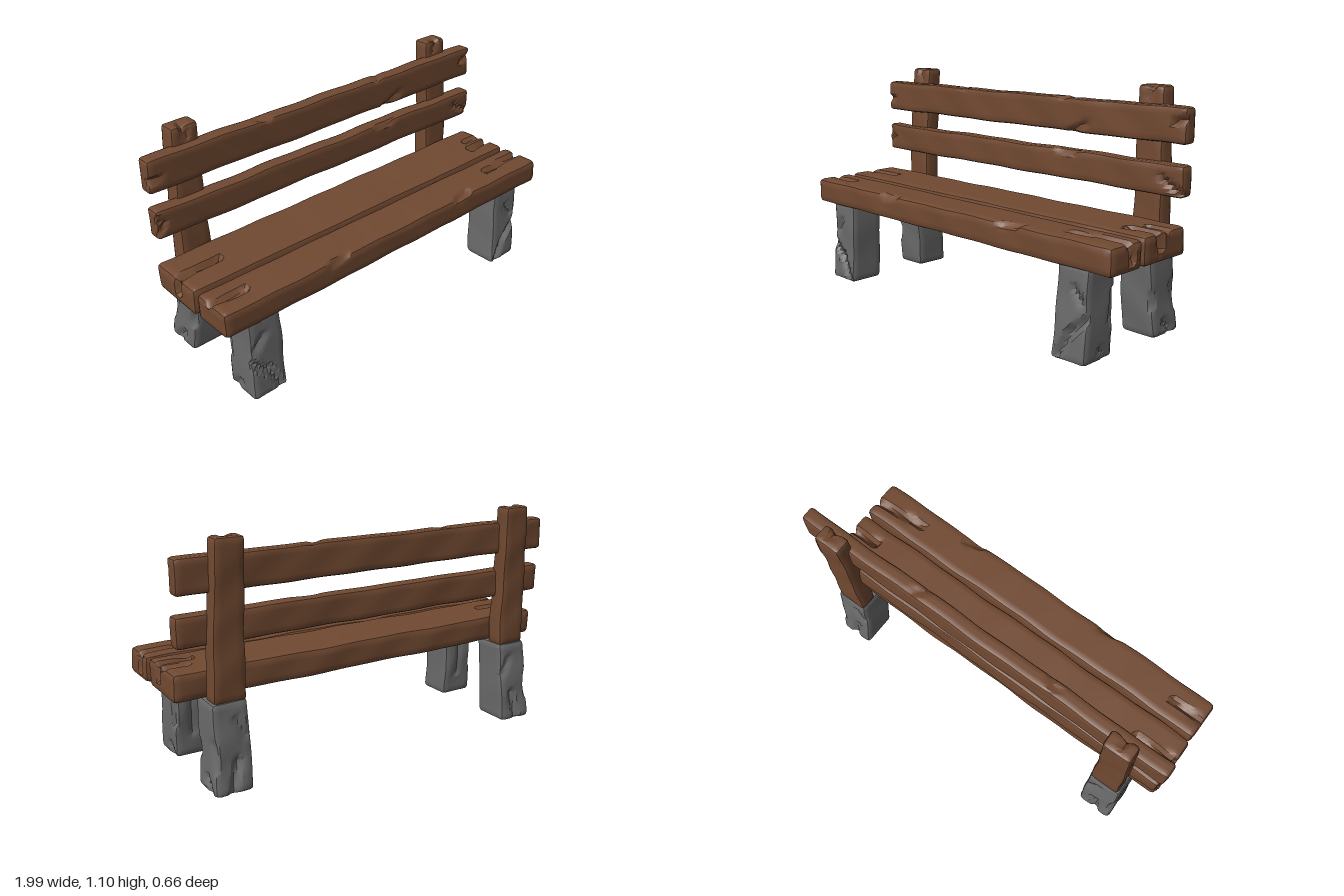
import * as THREE from 'three';
import { toCreasedNormals } from 'three/addons/utils/BufferGeometryUtils.js';

const V = (x, y, z) => new THREE.Vector3(x, y, z);
const lerp = THREE.MathUtils.lerp;

// Gentle hand-hewn unevenness, smooth in space
const wobble = (a, b, seed) =>
  Math.sin(a * 9 + seed * 2.1) * 0.6 + Math.sin(a * 21 + b * 7 + seed * 4.7) * 0.4;

// A crack or chip: surface near the line from a to b is pushed along dir
const cut = (a, b, width, dir) => ({ line: new THREE.Line3(V(...a), V(...b)), width, dir: V(...dir) });

// Bevelled block between two footprints [x0, x1, z0, z1] at heights y0 and y1
function hewnBlock({ low, high = low, y0, y1, bevel = 0.016, rough = 0.004, step = 0.018, seed = 1, cuts = [] }) {
  const size = [
    (low[1] - low[0] + high[1] - high[0]) / 2, y1 - y0,
    (low[3] - low[2] + high[3] - high[2]) / 2,
  ];
  const seg = size.map((s) => Math.max(5, Math.min(90, Math.round(s / step))));
  const geo = new THREE.BoxGeometry(1, 1, 1, ...seg);
  const pos = geo.attributes.position;
  const p = V(0, 0, 0), near = V(0, 0, 0);

  for (let i = 0; i < pos.count; i++) {
    // Place the outer rows of the grid at the bevel, then round the edges
    const raw = [pos.getX(i), pos.getY(i), pos.getZ(i)];
    const k = raw.map((r, j) => Math.round((r + 0.5) * seg[j]));
    const edge = k.map((n, j) => (n === 0 ? -1 : n === seg[j] ? 1 : 0));
    const extremes = edge.filter((e) => e !== 0).length;
    const pull = [0, 0, 0.3, 0.43][extremes] * bevel;
    const c = k.map((n, j) => {
      const h = size[j] / 2;
      if (edge[j]) return edge[j] * (h - pull);
      return -h + bevel + ((n - 1) / (seg[j] - 2)) * (2 * h - 2 * bevel);
    });

    // Taper between the footprints
    const t = c[1] / size[1] + 0.5;
    const r = low.map((v, j) => lerp(v, high[j], t));
    p.set(
      (r[0] + r[1]) / 2 + (c[0] / size[0]) * (r[1] - r[0]),
      lerp(y0, y1, t),
      (r[2] + r[3]) / 2 + (c[2] / size[2]) * (r[3] - r[2]));

    // Unevenness
    const { x, y, z } = p;
    p.x += wobble(y, z, seed + 1) * rough;
    p.y += wobble(x, z, seed + 2) * rough * 0.6;
    p.z += wobble(x + y, y, seed + 3) * rough;

    // Cracks and chips
    for (const { line, width, dir } of cuts) {
      line.closestPointToPoint(p, true, near);
      const d = near.distanceTo(p);
      if (d < width) p.addScaledVector(dir, 1 - d / width);
    }
    pos.setXYZ(i, p.x, Math.max(0, p.y), p.z);
  }
  return toCreasedNormals(geo, 0.5);
}

export function createModel() {
  const bench = new THREE.Group();
  bench.name = 'bench';
  const wood = new THREE.MeshStandardMaterial({ color: 0x714931 });
  wood.name = 'brown wood';
  const stone = new THREE.MeshStandardMaterial({ color: 0x6a6a6a });
  stone.name = 'grey stone';

  const add = (name, material, spec) => {
    const mesh = new THREE.Mesh(hewnBlock(spec), material);
    mesh.name = name;
    bench.add(mesh);
  };

  // Seat planks
  add('frontSeatPlank', wood, {
    low: [-0.993, 0.993, 0.122, 0.327], y0: 0.4, y1: 0.523, seed: 1, bevel: 0.022,
    cuts: [
      cut([-1, 0.52, 0.21], [-0.82, 0.52, 0.225], 0.022, [0, -0.03, 0]),
      cut([1, 0.52, 0.2], [0.72, 0.52, 0.225], 0.024, [0, -0.035, 0]),
      cut([1, 0.52, 0.2], [1, 0.45, 0.19], 0.025, [-0.03, 0, 0]),
      cut([0.4, 0.52, 0.32], [0.48, 0.52, 0.3], 0.03, [0, -0.02, -0.01]),
      cut([-0.42, 0.51, 0.33], [-0.34, 0.52, 0.32], 0.03, [0, -0.015, -0.01]),
    ],
  });
  add('rearSeatPlank', wood, {
    low: [-0.99, 0.993, -0.182, 0.106], y0: 0.398, y1: 0.527, seed: 2, bevel: 0.022,
    cuts: [
      cut([-1, 0.53, -0.02], [-0.78, 0.53, -0.03], 0.024, [0, -0.04, 0]),
      cut([-1, 0.53, -0.02], [-1, 0.46, -0.01], 0.026, [0.04, 0, 0]),
      cut([1, 0.53, 0], [0.84, 0.53, 0.01], 0.024, [0, -0.05, 0]),
      cut([1, 0.53, 0], [1, 0.46, -0.01], 0.028, [-0.04, 0, 0]),
      cut([1, 0.53, -0.06], [0.88, 0.53, -0.07], 0.02, [0, -0.03, 0]),
    ],
  });

  // Backrest slats
  add('lowerBackSlat', wood, {
    low: [-0.98, 0.98, -0.228, -0.155], y0: 0.64, y1: 0.778, seed: 3,
    cuts: [
      cut([-0.98, 0.75, -0.155], [-0.94, 0.71, -0.155], 0.02, [0, 0, -0.015]),
      cut([-0.94, 0.71, -0.155], [-0.98, 0.66, -0.155], 0.02, [0, 0, -0.015]),
      cut([0.87, 0.72, -0.155], [0.98, 0.655, -0.155], 0.022, [0, 0, -0.02]),
      cut([0.3, 0.775, -0.155], [0.4, 0.765, -0.155], 0.025, [0, -0.01, -0.012]),
    ],
  });
  add('upperBackSlat', wood, {
    low: [-0.985, 0.98, -0.24, -0.166], y0: 0.862, y1: 1.018, seed: 4,
    cuts: [
      cut([-0.99, 0.925, -0.166], [-0.94, 0.925, -0.166], 0.024, [0.01, 0, -0.02]),
      cut([0.98, 0.97, -0.166], [0.92, 0.955, -0.166], 0.022, [0, 0, -0.02]),
      cut([0.36, 0.865, -0.166], [0.45, 0.9, -0.166], 0.025, [0, 0.008, -0.015]),
      cut([-0.4, 1.015, -0.2], [-0.36, 1.015, -0.166], 0.03, [0, -0.012, 0]),
      cut([0.3, 1.015, -0.166], [0.35, 1.015, -0.22], 0.03, [0, -0.012, 0]),
    ],
  });

  // Posts and stone legs on each side
  for (const [side, s] of [['left', 1], ['right', -1]]) {
    const foot = (inner, outer, z0, z1) => (s > 0 ? [inner, outer, z0, z1] : [-outer, -inner, z0, z1]);

    add(side + 'BackPost', wood, {
      low: foot(0.702, 0.855, -0.278, -0.185), high: foot(0.698, 0.832, -0.299, -0.215),
      y0: 0.395, y1: 1.097, seed: 5 + s, step: 0.02,
      cuts: [
        cut([s * 0.77, 1.1, -0.215], [s * 0.76, 1.05, -0.212], 0.022, [0, -0.01, -0.02]),
        cut([s * 0.77, 1.1, -0.215], [s * 0.765, 1.1, -0.25], 0.022, [0, -0.02, 0]),
      ],
    });
    add(side + 'RearLeg', stone, {
      low: foot(0.698, 0.878, -0.33, -0.142), high: foot(0.702, 0.868, -0.28, -0.107),
      y0: 0, y1: 0.405, seed: 8 + s, rough: 0.005, bevel: 0.02,
      cuts: [
        cut([s * 0.88, 0.22, -0.28], [s * 0.88, 0.12, -0.32], 0.035, [-s * 0.02, 0, 0]),
        cut([s * 0.88, 0.06, -0.22], [s * 0.88, 0.02, -0.26], 0.03, [-s * 0.02, 0, 0]),
        cut([s * 0.8, 0, -0.33], [s * 0.77, 0.14, -0.315], 0.028, [0, 0, 0.025]),
        cut([s * 0.72, 0.25, -0.3], [s * 0.76, 0.32, -0.29], 0.03, [0, 0, 0.015]),
        cut([s * 0.87, 0.2, -0.125], [s * 0.87, 0.15, -0.14], 0.03, [-s * 0.015, 0, -0.01]),
      ],
    });
    add(side + 'FrontLeg', stone, {
      low: foot(0.698, 0.878, 0.148, 0.332), high: foot(0.702, 0.868, 0.126, 0.306),
      y0: 0, y1: 0.42, seed: 12 + s, rough: 0.005, bevel: 0.02,
      cuts: [
        cut([s * 0.73, 0.02, 0.332], [s * 0.79, 0.13, 0.325], 0.028, [0, 0, -0.025]),
        cut([s * 0.79, 0.13, 0.325], [s * 0.87, 0.2, 0.32], 0.028, [0, 0, -0.025]),
        cut([s * 0.8, 0.32, 0.31], [s * 0.84, 0.26, 0.315], 0.028, [0, 0, -0.018]),
        cut([s * 0.88, 0.28, 0.14], [s * 0.88, 0.17, 0.15], 0.03, [-s * 0.025, 0, 0.01]),
        cut([s * 0.88, 0.05, 0.22], [s * 0.88, 0.01, 0.18], 0.028, [-s * 0.02, 0, 0]),
        cut([s * 0.79, 0.3, 0.13], [s * 0.78, 0.12, 0.142], 0.025, [0, 0, 0.015]),
      ],
    });
  }
  return bench;
}
